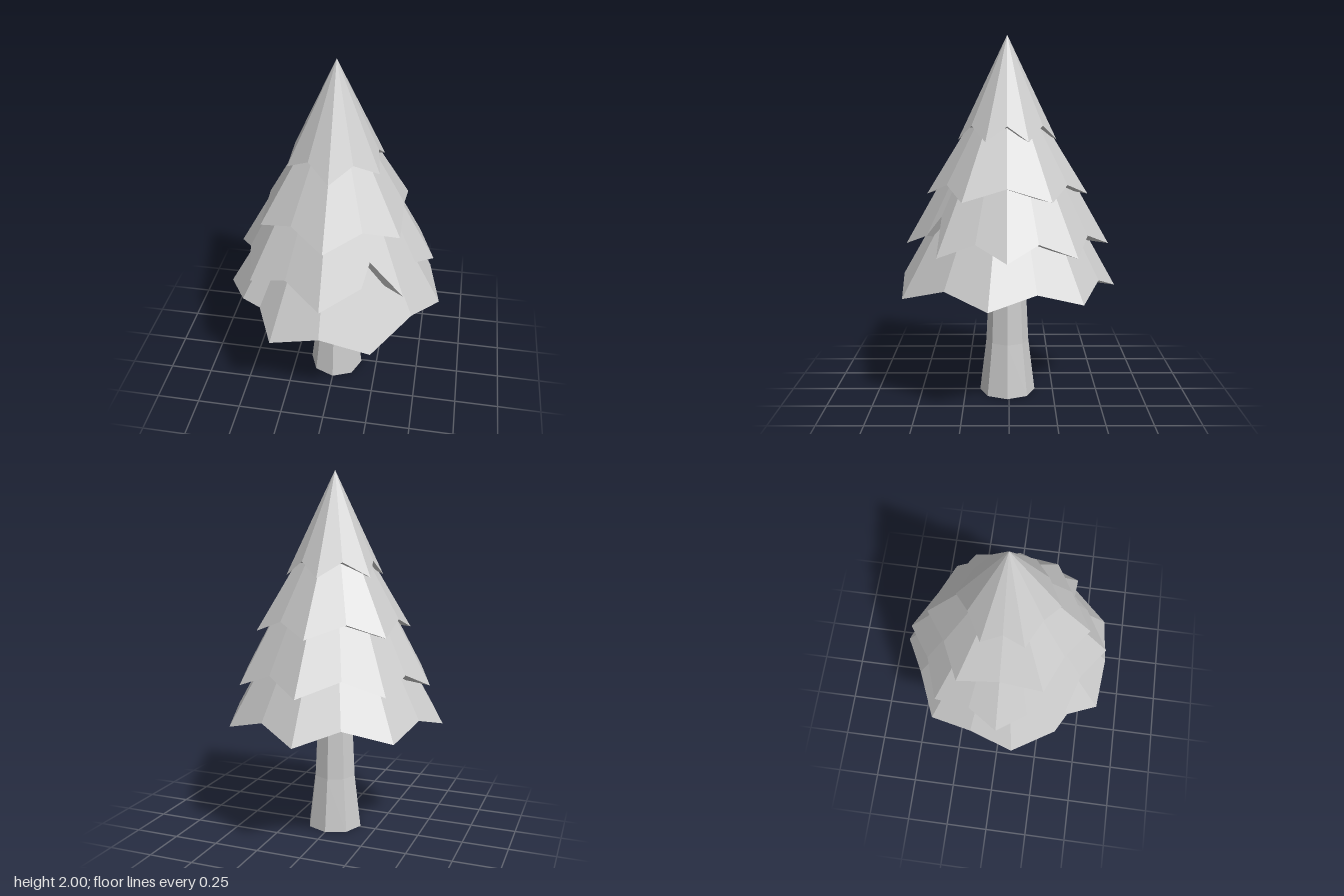
import * as THREE from 'three';

const CENTER_Z = 0.01;
const material = new THREE.MeshStandardMaterial({ color: 0xcccccc, flatShading: true });

// Full rim from the points between +z and +x, mirrored front to back and left to right
function mirroredRim(quarter) {
  const back = quarter.filter((p) => p[2] > 0).reverse().map(([x, y, z]) => [x, y, -z]);
  const half = [...quarter, ...back];
  const other = half.filter((p) => p[0] > 0).reverse().map(([x, y, z]) => [-x, y, z]);
  return [...half, ...other];
}

// Hollow skirt of branches: cone faces outside, a lip under the rim and a hollow inside
function tier(name, rim, apexY, lipY, hollowY) {
  const apex = [0, apexY, 0];
  const hollow = [0, hollowY, 0];
  const lip = rim.map(([x, , z]) => [x * 0.78, lipY, z * 0.78]);
  const pos = [];
  const tri = (...corners) => corners.forEach((c) => pos.push(...c));

  rim.forEach((a, i) => {
    const j = (i + 1) % rim.length;
    const b = rim[j];
    tri(a, b, apex);
    tri(b, a, lip[i]);
    tri(b, lip[i], lip[j]);
    tri(lip[j], lip[i], hollow);
  });

  const geometry = new THREE.BufferGeometry();
  geometry.setAttribute('position', new THREE.Float32BufferAttribute(pos, 3));
  geometry.computeVertexNormals();
  const mesh = new THREE.Mesh(geometry, material);
  mesh.name = name;
  mesh.position.z = CENTER_Z;
  return mesh;
}

export function createModel() {
  const tree = new THREE.Group();
  tree.name = 'pineTree';

  // Eight-sided trunk flaring at the foot
  const profile = [[0, 0], [0.157, 0], [0.12, 0.3], [0.1, 0.72], [0.09, 1.05], [0, 1.05]];
  const trunk = new THREE.Mesh(
    new THREE.LatheGeometry(profile.map(([r, y]) => new THREE.Vector2(r, y)), 8),
    material
  );
  trunk.name = 'trunk';
  trunk.position.z = CENTER_Z;
  tree.add(trunk);

  // Lowest skirt: seven tips, with a recess at the front on the right side
  const lowestRim = [
    [0, 0.69, 0.58], [0.27, 0.61, 0.56], [0.46, 0.7, 0.32], [0.6, 0.63, 0.095],
    [0.53, 0.7, -0.15], [0.465, 0.63, -0.39], [0.22, 0.7, -0.49], [0, 0.62, -0.605],
    [-0.22, 0.7, -0.49], [-0.465, 0.63, -0.39], [-0.53, 0.7, -0.15], [-0.6, 0.63, 0.095],
    [-0.47, 0.7, 0.33], [-0.36, 0.7, 0.39], [-0.27, 0.61, 0.56],
  ];
  tree.add(tier('lowestBranches', lowestRim, 1.7, 0.69, 1.4));

  // Eight-tipped skirt with one deep cut at the front left
  const lowerRim = mirroredRim([
    [0, 0.86, 0.565], [0.2, 0.94, 0.43], [0.412, 0.86, 0.362], [0.455, 0.94, 0.16], [0.547, 0.86, 0],
  ]);
  lowerRim.splice(2, 0, [0.23, 1.05, 0.345]);
  tree.add(tier('lowerBranches', lowerRim, 1.85, 0.92, 1.3));

  // Six-tipped skirts
  const upperRim = mirroredRim([
    [0, 1.14, 0.445], [0.185, 1.21, 0.32], [0.37, 1.14, 0.232], [0.367, 1.21, 0],
  ]);
  tree.add(tier('upperBranches', upperRim, 1.86, 1.19, 1.55));

  const topRim = mirroredRim([
    [0, 1.44, 0.27], [0.115, 1.52, 0.19], [0.242, 1.44, 0.113], [0.22, 1.52, 0],
  ]);
  tree.add(tier('treetop', topRim, 2, 1.5, 1.75));

  return tree;
}
